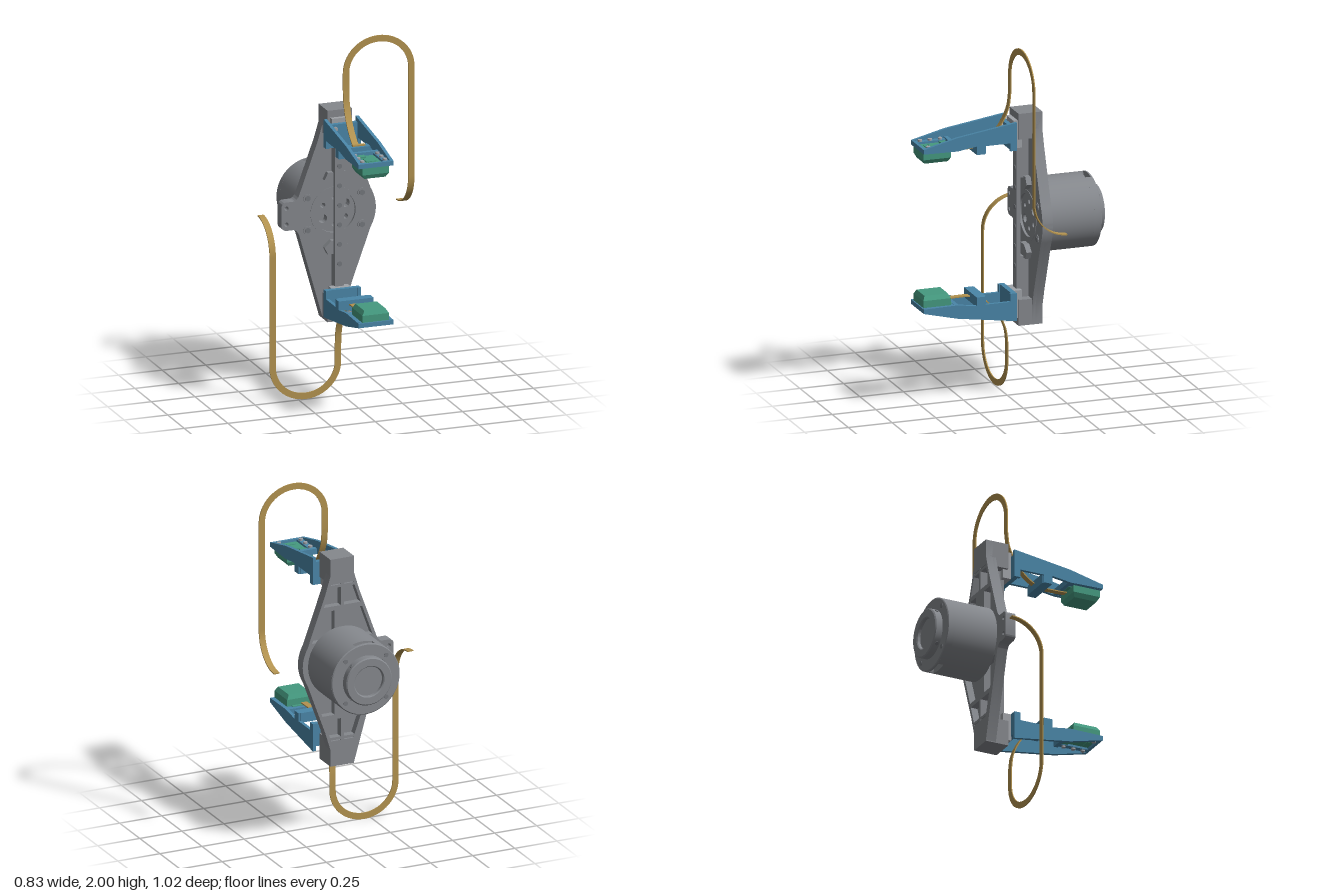
import * as THREE from 'three';
import { toCreasedNormals } from 'three/addons/utils/BufferGeometryUtils.js';

const material = (color) => new THREE.MeshStandardMaterial({ color });
const grey = material(0x85888d), darkGrey = material(0x74777c), steel = material(0xa0a3a8);
const blue = material(0x4a86a8), green = material(0x459a80), gold = material(0xb39350);

function add(parent, name, geometry, mat) {
  const m = new THREE.Mesh(geometry, mat);
  m.name = name;
  parent.add(m);
  return m;
}

// Box given by its ranges on x, y and z
function box(parent, name, mat, [x0, x1], [y0, y1], [z0, z1]) {
  const g = new THREE.BoxGeometry(x1 - x0, y1 - y0, z1 - z0);
  g.translate((x0 + x1) / 2, (y0 + y1) / 2, (z0 + z1) / 2);
  return add(parent, name, g, mat);
}

// Cylinder along z
function disc(parent, name, mat, x, y, r, z0, z1, sides = 24) {
  const g = new THREE.CylinderGeometry(r, r, z1 - z0, sides);
  g.rotateX(Math.PI / 2).translate(x, y, (z0 + z1) / 2);
  return add(parent, name, g, mat);
}

function extrude(shape, z0, z1) {
  const g = new THREE.ExtrudeGeometry(shape, { depth: z1 - z0, bevelEnabled: false, curveSegments: 24 });
  return toCreasedNormals(g.translate(0, 0, z0), 0.6);
}

const polygon = (pts) => new THREE.Shape(pts.map(([x, y]) => new THREE.Vector2(x, y)));
const circlePath = (x, y, r) => new THREE.Path().absarc(x, y, r, 0, Math.PI * 2, true);

// Flat strip swept through points, each with its own width direction
function ribbon(points, widths, width, thick) {
  const pos = [], index = [];
  const last = points.length - 1;
  points.forEach((p, i) => {
    const t = points[Math.min(i + 1, last)].clone().sub(points[Math.max(i - 1, 0)]).normalize();
    const w = widths[i], n = t.clone().cross(w);
    for (const [a, b] of [[1, 1], [-1, 1], [-1, -1], [1, -1]]) {
      const c = p.clone().addScaledVector(w, a * width / 2).addScaledVector(n, b * thick / 2);
      pos.push(c.x, c.y, c.z);
    }
    if (i < last) for (let j = 0; j < 4; j++) {
      const a = i * 4 + j, b = i * 4 + (j + 1) % 4;
      index.push(a, b, b + 4, a, b + 4, a + 4);
    }
  });
  const e = last * 4;
  index.push(0, 3, 2, 0, 2, 1, e, e + 1, e + 2, e, e + 2, e + 3);
  const g = new THREE.BufferGeometry();
  g.setAttribute('position', new THREE.Float32BufferAttribute(pos, 3));
  g.setIndex(index);
  return toCreasedNormals(g, 0.6);
}

// Half width of the base plate at a height from its centre
const halfWidth = (y) => y > 0.5 ? 0.07 : y > 0.4 ? 0.07 + (0.5 - y) * 0.3 : 0.1 + (0.4 - y) * 0.36;

function plateOutline() {
  const s = new THREE.Shape();
  s.moveTo(-0.07, -0.59).lineTo(0.07, -0.59).lineTo(0.07, -0.5).lineTo(0.1, -0.4).lineTo(0.205, -0.11);
  s.quadraticCurveTo(0.265, 0, 0.205, 0.11);
  s.lineTo(0.1, 0.4).lineTo(0.07, 0.5).lineTo(0.07, 0.59).lineTo(-0.07, 0.59).lineTo(-0.07, 0.5);
  s.lineTo(-0.1, 0.4).lineTo(-0.205, 0.11);
  // Side tab with two holes
  s.quadraticCurveTo(-0.22, 0.08, -0.24, 0.08).lineTo(-0.28, 0.08).quadraticCurveTo(-0.305, 0.075, -0.305, 0.05);
  s.lineTo(-0.305, -0.05).quadraticCurveTo(-0.305, -0.075, -0.28, -0.08).lineTo(-0.24, -0.08);
  s.quadraticCurveTo(-0.22, -0.08, -0.205, -0.11);
  s.holes.push(circlePath(0, 0, 0.12), circlePath(-0.277, 0.045, 0.012), circlePath(-0.277, -0.045, 0.012));
  return s;
}

function buildBase(root) {
  const base = new THREE.Group();
  base.name = 'base';
  root.add(base);
  add(base, 'plateSkin', extrude(plateOutline(), -0.135, -0.115), grey);

  // Ribbed back: the same outline with pockets cut out
  const ribs = plateOutline();
  for (const sy of [1, -1]) for (const sx of [1, -1]) for (const [y0, y1] of [[0.13, 0.3], [0.325, 0.43], [0.445, 0.565]]) {
    const inner = y0 < 0.2 ? 0.045 : 0.009;
    const corners = [[inner, y0], [halfWidth(y0) - 0.018, y0], [halfWidth(y1) - 0.018, y1], [inner, y1]];
    ribs.holes.push(new THREE.Path(corners.map(([x, y]) => new THREE.Vector2(x * sx, y * sy))));
  }
  add(base, 'plateRibs', extrude(ribs, -0.175, -0.135), grey);

  // Output hub in the middle
  const hub = new THREE.Shape().absarc(0, 0, 0.12, 0, Math.PI * 2);
  for (let i = 0; i < 6; i++) {
    const a = (i + 0.5) * Math.PI / 3;
    hub.holes.push(circlePath(0.075 * Math.cos(a), 0.075 * Math.sin(a), i % 3 ? 0.014 : 0.024));
  }
  add(base, 'hub', extrude(hub, -0.17, -0.125), grey);
  const ring = new THREE.Shape().absarc(0, 0, 0.14, 0, Math.PI * 2);
  ring.holes.push(circlePath(0, 0, 0.118));
  add(base, 'hubRing', extrude(ring, -0.13, -0.112), grey);

  for (const sx of [1, -1]) for (const sy of [1, -1]) {
    disc(base, 'plateBoltRim', grey, sx * 0.155, sy * 0.09, 0.025, -0.12, -0.111);
    disc(base, 'plateBolt', darkGrey, sx * 0.155, sy * 0.09, 0.016, -0.12, -0.108, 6);
  }
  for (const s of [1, -1]) {
    const by = (a, b) => [Math.min(a * s, b * s), Math.max(a * s, b * s)];
    box(base, 'endBlock', grey, [-0.07, 0.07], by(0.45, 0.595), [-0.175, -0.04]);
    box(base, 'spine', grey, [-0.02, 0.02], by(0.22, 0.46), [-0.12, -0.062]);
    const boss = polygon([[-0.03, 0.155], [0.03, 0.155], [0.07, 0.19], [0.05, 0.23], [-0.05, 0.23], [-0.07, 0.19]]);
    add(base, 'stopBoss', extrude(boss, -0.12, -0.085), grey).rotation.z = s > 0 ? 0 : Math.PI;
  }

  // Guide rail with its screws
  box(base, 'rail', grey, [-0.025, 0.025], [-0.55, 0.55], [-0.066, -0.043]);
  for (let i = 0; i < 6; i++) disc(base, 'railScrew', darkGrey, 0, (i - 2.5) * 0.11, 0.014, -0.05, -0.04, 16);
}

function buildMotor(root) {
  const motor = new THREE.Group();
  motor.name = 'motor';
  root.add(motor);
  disc(motor, 'motorBody', grey, 0, 0, 0.203, -0.425, -0.172, 64);
  // Wall segments leave a slot at the top and bottom
  for (const s of [0, Math.PI]) {
    const a = Math.PI / 2 - 0.29, wall = new THREE.Shape();
    wall.absarc(0, 0, 0.203, s - a, s + a, false).absarc(0, 0, 0.165, s + a, s - a, true);
    add(motor, 'motorWall', extrude(wall, -0.458, -0.425), grey);
  }
  const lid = [[0.08, -0.455], [0.203, -0.455], [0.203, -0.464], [0.198, -0.468], [0.136, -0.468], [0.136, -0.505],
    [0.13, -0.511], [0.09, -0.511], [0.085, -0.506], [0.085, -0.49], [0, -0.49]];
  const g = new THREE.LatheGeometry(lid.map(([r, z]) => new THREE.Vector2(r, -z)), 64).rotateX(-Math.PI / 2);
  const cap = add(motor, 'motorLid', toCreasedNormals(g, 0.5), grey);
  cap.material = grey.clone();
  cap.material.side = THREE.DoubleSide;
  for (let i = 0; i < 4; i++) {
    const a = (i + 0.5) * Math.PI / 2;
    disc(motor, 'lidScrew', darkGrey, 0.17 * Math.cos(a), 0.17 * Math.sin(a), 0.013, -0.471, -0.46, 16);
    const side = new THREE.CylinderGeometry(0.01, 0.01, 0.01, 16).translate(0, 0.134, -0.484).rotateZ(a);
    add(motor, 'capScrew', side, darkGrey);
  }
}

function buildFinger(parent) {
  const finger = new THREE.Group();
  finger.name = 'finger';
  parent.add(finger);
  box(finger, 'carriage', steel, [-0.055, 0.055], [0.4, 0.555], [-0.065, -0.015]);

  // Side walls
  const wall = polygon([[-0.018, 0.4], [0.018, 0.4], [0.018, 0.445], [0.16, 0.445], [0.16, 0.4], [0.21, 0.4], [0.21, 0.448],
    [0.32, 0.432], [0.513, 0.435], [0.513, 0.46], [0.32, 0.507], [-0.018, 0.557]]);
  for (const x of [0.1, -0.082]) add(finger, 'sideWall', extrude(wall, 0, 0.018).rotateY(-Math.PI / 2).translate(x, 0, 0), blue);
  box(finger, 'backWall', blue, [-0.09, 0.09], [0.4, 0.53], [-0.018, 0.01]);
  box(finger, 'crossBar', blue, [-0.09, 0.09], [0.4, 0.455], [0.155, 0.21]);

  // Frame around the sensor
  box(finger, 'frameBack', blue, [-0.09, 0.09], [0.433, 0.465], [0.31, 0.333]);
  box(finger, 'frameTip', blue, [-0.09, 0.09], [0.435, 0.46], [0.498, 0.513]);
  for (const s of [1, -1]) {
    box(finger, 'frameSide', blue, s > 0 ? [0.05, 0.09] : [-0.09, -0.05], [0.434, 0.458], [0.32, 0.505]);
    disc(finger, 'mountScrew', steel, s * 0.045, 0.505, 0.013, 0, 0.02, 16);
    for (const z of [0.36, 0.418, 0.475]) {
      const g = new THREE.CylinderGeometry(0.012, 0.012, 0.012, 16).translate(s * 0.065, 0.462, z);
      add(finger, 'frameScrew', g, steel);
    }
  }

  // Sensor board and touch pad, narrowed towards its contact face
  box(finger, 'sensorBoard', green, [-0.05, 0.05], [0.43, 0.446], [0.333, 0.498]);
  box(finger, 'boardChip', green, [-0.03, 0.028], [0.44, 0.45], [0.39, 0.445]);
  box(finger, 'boardPart', green, [-0.025, 0.023], [0.44, 0.45], [0.458, 0.472]);
  box(finger, 'boardConnector', green, [-0.048, -0.005], [0.44, 0.455], [0.34, 0.375]);
  box(finger, 'padBase', green, [-0.076, 0.076], [0.395, 0.434], [0.35, 0.507]);
  const pad = new THREE.BoxGeometry(0.152, 0.024, 0.157), p = pad.attributes.position;
  for (let i = 0; i < p.count; i++) if (p.getY(i) < 0) p.setXYZ(i, p.getX(i) * 0.8, p.getY(i), p.getZ(i) * 0.85);
  pad.computeVertexNormals();
  add(finger, 'touchPad', pad.translate(0, 0.383, 0.4285), green);
  box(finger, 'cableClip', gold, [-0.012, 0.06], [0.45, 0.462], [0.172, 0.193]);
}

function buildCable(parent) {
  const points = [], widths = [];
  const put = (x, y, z, wx, wy) => { points.push(new THREE.Vector3(x, y, z)); widths.push(new THREE.Vector3(wx, wy, 0)); };
  // From the sensor through the finger and up
  const run = [[0.36, 0.425], [0.28, 0.422], [0.21, 0.424], [0.15, 0.44], [0.09, 0.485], [0.04, 0.55], [0.005, 0.63], [-0.006, 0.71]];
  new THREE.CatmullRomCurve3(run.map(([z, y]) => new THREE.Vector3(0.023, y, z))).getPoints(36)
    .forEach((q) => put(q.x, q.y, q.z, 1, 0));
  // Half-circle loop
  for (let i = 0; i <= 32; i++) {
    const a = Math.PI * (1 - i / 32), c = Math.cos(a), s = Math.sin(a);
    put(0.21 + 0.187 * c, 0.8065 + 0.176 * s, -0.006, -c, -s);
  }
  // Down and backwards
  for (let i = 0; i <= 16; i++) {
    const a = i / 16 * Math.PI / 2;
    put(0.397, 0.185 * (1 - Math.sin(a)) + 0.002, -0.006 - 0.185 * (1 - Math.cos(a)), -1, 0);
  }
  add(parent, 'cable', ribbon(points, widths, 0.035, 0.006), gold);
}

export function createModel() {
  const root = new THREE.Group();
  root.name = 'gripper';
  root.position.y = 1;
  buildBase(root);
  buildMotor(root);
  // The two fingers are half a turn apart
  for (const [name, turn] of [['upperFinger', 0], ['lowerFinger', Math.PI]]) {
    const half = new THREE.Group();
    half.name = name;
    half.rotation.z = turn;
    buildFinger(half);
    buildCable(half);
    root.add(half);
  }
  const model = new THREE.Group();
  model.name = 'model';
  model.add(root);
  return model;
}
